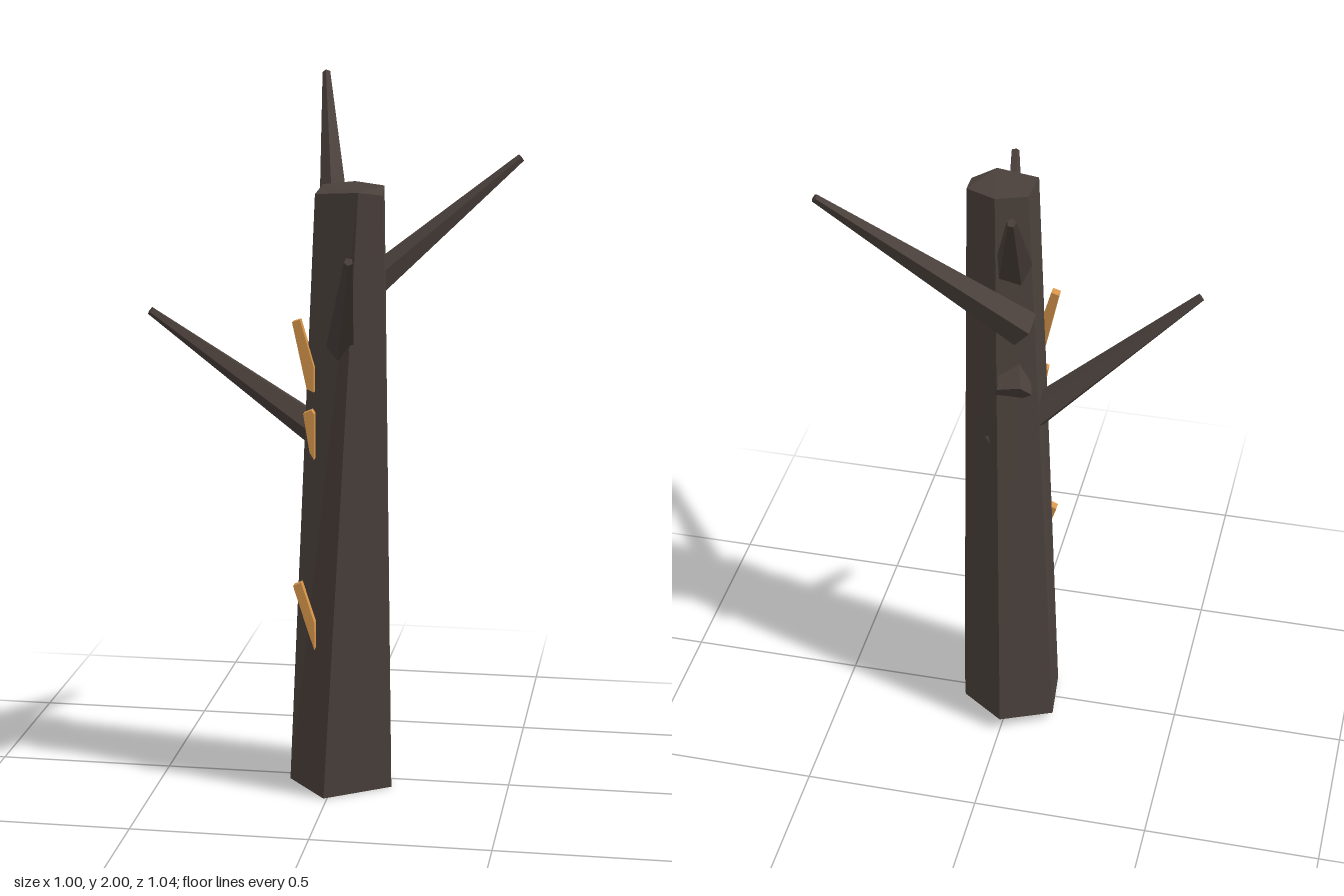
import * as THREE from 'three';

// Flat facets: split the vertices so every face keeps its own normal
function facet(geometry) {
  const flat = geometry.index ? geometry.toNonIndexed() : geometry;
  flat.computeVertexNormals();
  return flat;
}

// Closed loft between two rings, listed counterclockwise seen from above
function loft(bottom, top) {
  const n = bottom.length;
  const index = [];
  for (let i = 0; i < n; i++) {
    const j = (i + 1) % n;
    index.push(i, j, n + j, i, n + j, n + i);
  }
  for (let i = 1; i < n - 1; i++) {
    index.push(0, i + 1, i, n, n + i, n + i + 1);
  }
  const geometry = new THREE.BufferGeometry();
  geometry.setAttribute('position', new THREE.Float32BufferAttribute([...bottom, ...top].flat(), 3));
  geometry.setIndex(index);
  return facet(geometry);
}

// Tapered five-sided limb from base to tip
function limb(base, tip, baseRadius, tipRadius) {
  const a = new THREE.Vector3(...base);
  const b = new THREE.Vector3(...tip);
  const axis = b.clone().sub(a);
  const geometry = new THREE.CylinderGeometry(tipRadius, baseRadius, axis.length(), 5);
  geometry.applyQuaternion(
    new THREE.Quaternion().setFromUnitVectors(new THREE.Vector3(0, 1, 0), axis.normalize()));
  const mid = a.add(b).multiplyScalar(0.5);
  geometry.translate(mid.x, mid.y, mid.z);
  return facet(geometry);
}

export function createModel() {
  const group = new THREE.Group();
  const bark = new THREE.MeshStandardMaterial({ color: 0x4a403b });
  bark.name = 'dark bark';
  const amber = new THREE.MeshStandardMaterial({ color: 0xd6954a });
  amber.name = 'amber';

  const add = (name, geometry, material) => {
    const mesh = new THREE.Mesh(geometry, material);
    mesh.name = name;
    group.add(mesh);
  };

  // Leaning six-sided trunk
  add('trunk', loft(
    [[-0.01, 0, 0.19], [0.168, 0, 0.067], [0.13, 0.025, -0.075],
      [0, 0.04, -0.18], [-0.145, 0.025, -0.1], [-0.125, 0.012, 0.075]],
    [[0.085, 1.725, 0.178], [0.145, 1.713, 0.13], [0.138, 1.73, 0.045],
      [0.05, 1.735, 0], [-0.033, 1.73, 0.04], [-0.035, 1.718, 0.165]],
  ), bark);

  // Bare branches, some with the butt end poking through the trunk
  [
    ['backBranch', [0.01, 1.49, 0.05], [-0.113, 1.99, -0.515]],
    ['leftBranch', [-0.03, 1.34, -0.005], [0.492, 1.787, -0.182]],
    ['rightBranch', [0.05, 0.95, -0.02], [-0.492, 1.39, 0.177]],
    ['frontBranch', [-0.01, 1.15, -0.058], [0.11, 1.59, 0.513]],
  ].forEach(([name, base, tip]) => add(name, limb(base, tip, 0.055, 0.012), bark));

  // Slanted amber slivers on the trunk's right side
  [
    [[-0.1, 1.365], [-0.06, 1.18], [-0.04, 1.17], [-0.04, 1.24], [-0.078, 1.372]],
    [[-0.07, 1.11], [-0.052, 1], [-0.04, 0.98], [-0.04, 1.11], [-0.047, 1.12]],
    [[-0.1, 0.615], [-0.06, 0.49], [-0.04, 0.43], [-0.04, 0.51], [-0.077, 0.625]],
  ].forEach((points) => {
    const shape = new THREE.Shape(points.map(([x, y]) => new THREE.Vector2(x, y)));
    const geometry = new THREE.ExtrudeGeometry(shape, { depth: 0.026, bevelEnabled: false });
    geometry.translate(0, 0, 0.135);
    add('sliver', facet(geometry), amber);
  });

  return group;
}
